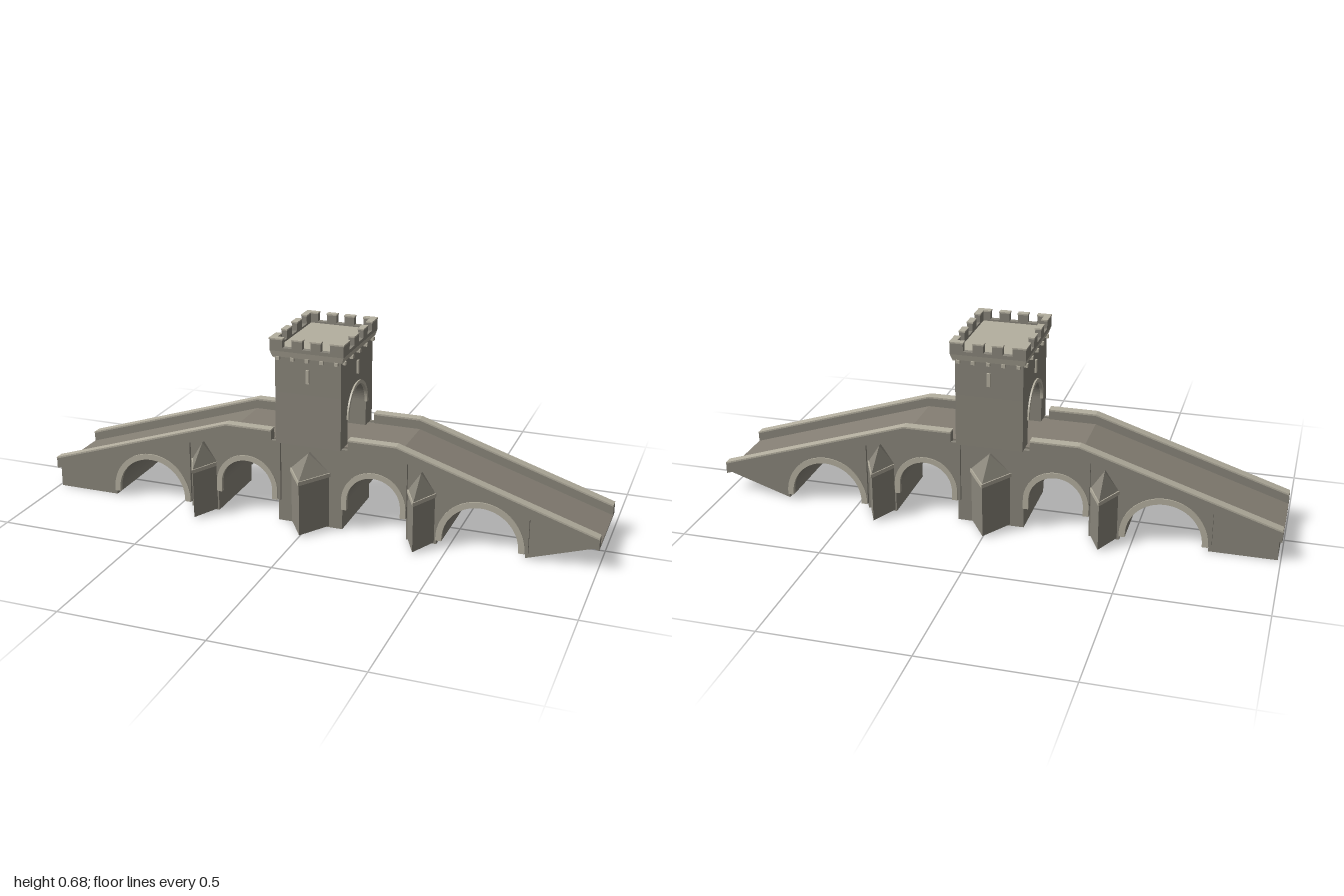
import * as THREE from 'three';
import { ConvexGeometry } from 'three/addons/geometries/ConvexGeometry.js';

const stone = new THREE.MeshStandardMaterial({ color: 0x89857a });
stone.name = 'stone';
const trim = new THREE.MeshStandardMaterial({ color: 0xb4af9f });
trim.name = 'paleTrim';
const paving = new THREE.MeshStandardMaterial({ color: 0x857f74 });
paving.name = 'paving';

// Arches: centre, outer radius, inner radius, springing height, foot height
const ARCHES = [
  { c: -0.607, R: 0.152, r: 0.131, s: 0.03, foot: 0.02, x0: -0.77, x1: -0.453 },
  { c: -0.233, R: 0.115, r: 0.096, s: 0.115, foot: 0.08, x0: -0.35, x1: -0.107 },
  { c: 0.233, R: 0.115, r: 0.096, s: 0.115, foot: 0.08, x0: 0.107, x1: 0.35 },
  { c: 0.607, R: 0.152, r: 0.131, s: 0.03, foot: 0.02, x0: 0.453, x1: 0.77 },
];
const CREST = 0.31;
const deckY = (x) => 0.3 - Math.max(0, Math.abs(x) - CREST) * 0.322;

function add(parent, name, geometry, material) {
  const mesh = new THREE.Mesh(geometry, material);
  mesh.name = name;
  parent.add(mesh);
  return mesh;
}

const box = (w, h, d, x, y, z) => new THREE.BoxGeometry(w, h, d).translate(x, y, z);

// Extrudes an upright shape between two z positions
const slab = (shape, z0, z1) =>
  new THREE.ExtrudeGeometry(shape, { depth: z1 - z0, bevelEnabled: false, curveSegments: 20 }).translate(0, 0, z0);

const poly = (pts) => new THREE.Shape(pts.map(([x, y]) => new THREE.Vector2(x, y)));

// Band following the deck slope between x0 and x1
function deckBand(x0, x1, low, high) {
  const xs = [x0, ...[-CREST, CREST].filter((x) => x > x0 && x < x1), x1];
  return poly([
    ...xs.map((x) => [x, deckY(x) + low]),
    ...xs.reverse().map((x) => [x, deckY(x) + high]),
  ]);
}

// Ring of an arch with short straight legs
function archRing({ c, R, r, s, foot }) {
  const ring = poly([[c - R, foot], [c - r, foot], [c - r, s]]);
  ring.absarc(c, s, r, Math.PI, 0, true);
  ring.lineTo(c + r, foot);
  ring.lineTo(c + R, foot);
  ring.absarc(c, s, R, 0, Math.PI, false);
  return ring;
}

// Wall around an arch, up to the deck
function spandrel({ c, R, s, foot, x0, x1 }) {
  const wall = poly([[x0, foot], [c - R, foot], [c - R, s]]);
  wall.absarc(c, s, R, Math.PI, 0, true);
  wall.lineTo(c + R, foot);
  wall.lineTo(x1, foot);
  [x1, ...[CREST, -CREST].filter((x) => x > x0 && x < x1), x0].forEach((x) => wall.lineTo(x, deckY(x)));
  return wall;
}

// Pointed pier nose with ledge and half-pyramid roof
function cutwater(x, half, nose, top, ledgeTop, apex) {
  const group = new THREE.Group();
  group.name = 'cutwater';
  const prism = (h, n, y0, y1) =>
    slab(poly([[-h, 0.144], [h, 0.144], [0, n]]), 0, y1 - y0).rotateX(Math.PI / 2).translate(0, y1, 0);
  add(group, 'cutwaterBody', prism(half, nose, 0.005, top), stone);
  add(group, 'cutwaterLedge', prism(half + 0.005, nose + 0.007, top, ledgeTop), trim);
  const corners = [[-half, ledgeTop, 0.144], [half, ledgeTop, 0.144], [0, ledgeTop, nose], [0, apex, 0.16], [0, apex, 0.144]];
  add(group, 'cutwaterRoof', new ConvexGeometry(corners.map((p) => new THREE.Vector3(...p))), stone);
  group.position.x = x;
  return group;
}

function buildBridge() {
  const bridge = new THREE.Group();
  bridge.name = 'bridge';

  // Core with barrel vaults
  const core = new THREE.Shape();
  core.moveTo(-0.99, 0);
  for (const { c, R, r, s, foot } of ARCHES) {
    [[c - R, 0], [c - R, foot], [c - r, foot], [c - r, s]].forEach((p) => core.lineTo(...p));
    core.absarc(c, s, r, Math.PI, 0, true);
    [[c + r, foot], [c + R, foot], [c + R, 0]].forEach((p) => core.lineTo(...p));
  }
  [0.99, CREST, -CREST, -0.99].forEach((x) => core.lineTo(x, deckY(x) - 0.006));
  add(bridge, 'bridgeCore', slab(core, -0.145, 0.145), stone);
  add(bridge, 'roadway', slab(deckBand(-1, 1, -0.006, 0), -0.126, 0.126), paving);

  // Both flanks share the same facing, turned half a revolution for the back
  for (const turn of [0, Math.PI]) {
    const flank = new THREE.Group();
    flank.name = turn ? 'backFlank' : 'frontFlank';
    flank.rotation.y = turn;
    for (const arch of ARCHES) {
      add(flank, 'spandrel', slab(spandrel(arch), 0.144, 0.155), stone);
      add(flank, 'archRing', slab(archRing(arch), 0.144, 0.159), trim);
    }
    for (const [x0, x1] of [[-1, -0.14], [0.14, 1]]) {
      add(flank, 'parapet', slab(deckBand(x0, x1, -0.006, 0.032), 0.125, 0.155), stone);
      add(flank, 'coping', slab(deckBand(x0, x1, 0.032, 0.038), 0.123, 0.157), trim);
    }
    flank.add(cutwater(0, 0.07, 0.253, 0.19, 0.204, 0.272));
    for (const x of [-0.4, 0.4]) flank.add(cutwater(x, 0.047, 0.243, 0.172, 0.186, 0.257));
    bridge.add(flank);
  }
  return bridge;
}

function buildTower() {
  const tower = new THREE.Group();
  tower.name = 'gateTower';
  const hx = 0.118, hz = 0.163;

  // Walls with the road passage running through
  const wall = poly([[-hz - 0.002, 0.298], [-0.097, 0.298], [-0.097, 0.39]]);
  wall.absarc(0, 0.39, 0.097, Math.PI, 0, true);
  [[0.097, 0.298], [hz + 0.002, 0.298], [hz, 0.483], [hz, 0.612], [-hz, 0.612], [-hz, 0.483]].forEach((p) => wall.lineTo(...p));
  add(tower, 'towerWalls', slab(wall, -hx, hx).rotateY(Math.PI / 2), stone);

  const ring = archRing({ c: 0, R: 0.106, r: 0.094, s: 0.39, foot: 0.39 });
  for (const s of [-1, 1]) {
    const z0 = s > 0 ? hx - 0.004 : -hx - 0.006;
    add(tower, 'gateArchRing', slab(ring, z0, z0 + 0.01).rotateY(Math.PI / 2), trim);

    // Arrow slits
    add(tower, 'sideSlit', box(0.008, 0.047, 0.012, s * (hx + 0.002), 0.548, 0), trim);
    add(tower, 'faceSlit', box(0.012, 0.047, 0.008, 0, 0.548, s * (hz + 0.003)), trim);

    // Corbels
    for (const i of [-2, -1, 0, 1, 2]) {
      add(tower, 'sideCorbel', box(0.014, 0.012, 0.013, s * (hx + 0.005), 0.606, i * 0.073), trim);
      add(tower, 'faceCorbel', box(0.013, 0.012, 0.014, i * 0.052, 0.606, s * (hz + 0.007)), trim);
    }
  }

  // Cornice flaring outward
  const cornice = box(0.262, 0.022, 0.356, 0, 0.622, 0);
  const p = cornice.attributes.position;
  for (let i = 0; i < p.count; i++) {
    if (p.getY(i) < 0.62) p.setXYZ(i, p.getX(i) * 0.95, p.getY(i), p.getZ(i) * 0.965);
  }
  cornice.computeVertexNormals();
  add(tower, 'cornice', cornice, trim);
  add(tower, 'towerRoof', box(0.22, 0.006, 0.316, 0, 0.635, 0), trim);

  // Battlements: [centre, width] of merlons along each side
  const battlements = (name, length, offset, merlons, alongX) => {
    for (const s of [-1, 1]) {
      const piece = (label, w, h, d, at, y, material) =>
        add(tower, label, alongX ? box(w, h, d, at, y, s * offset) : box(d, h, w, s * offset, y, at), material);
      piece(name + 'Wall', length, 0.012, 0.02, 0, 0.638, stone);
      for (const [at, w] of merlons) {
        piece(name + 'Merlon', w, 0.028, 0.02, at, 0.657, stone);
        piece(name + 'MerlonCap', w + 0.003, 0.005, 0.023, at, 0.6735, trim);
      }
    }
  };
  battlements('face', 0.262, 0.168, [[-0.108, 0.046], [-0.033, 0.036], [0.033, 0.036], [0.108, 0.046]], true);
  battlements('side', 0.316, 0.121, [[-0.137, 0.042], [-0.047, 0.046], [0.047, 0.046], [0.137, 0.042]], false);
  return tower;
}

export function createModel() {
  const model = new THREE.Group();
  model.name = 'fortifiedBridge';
  model.add(buildBridge(), buildTower());
  return model;
}
